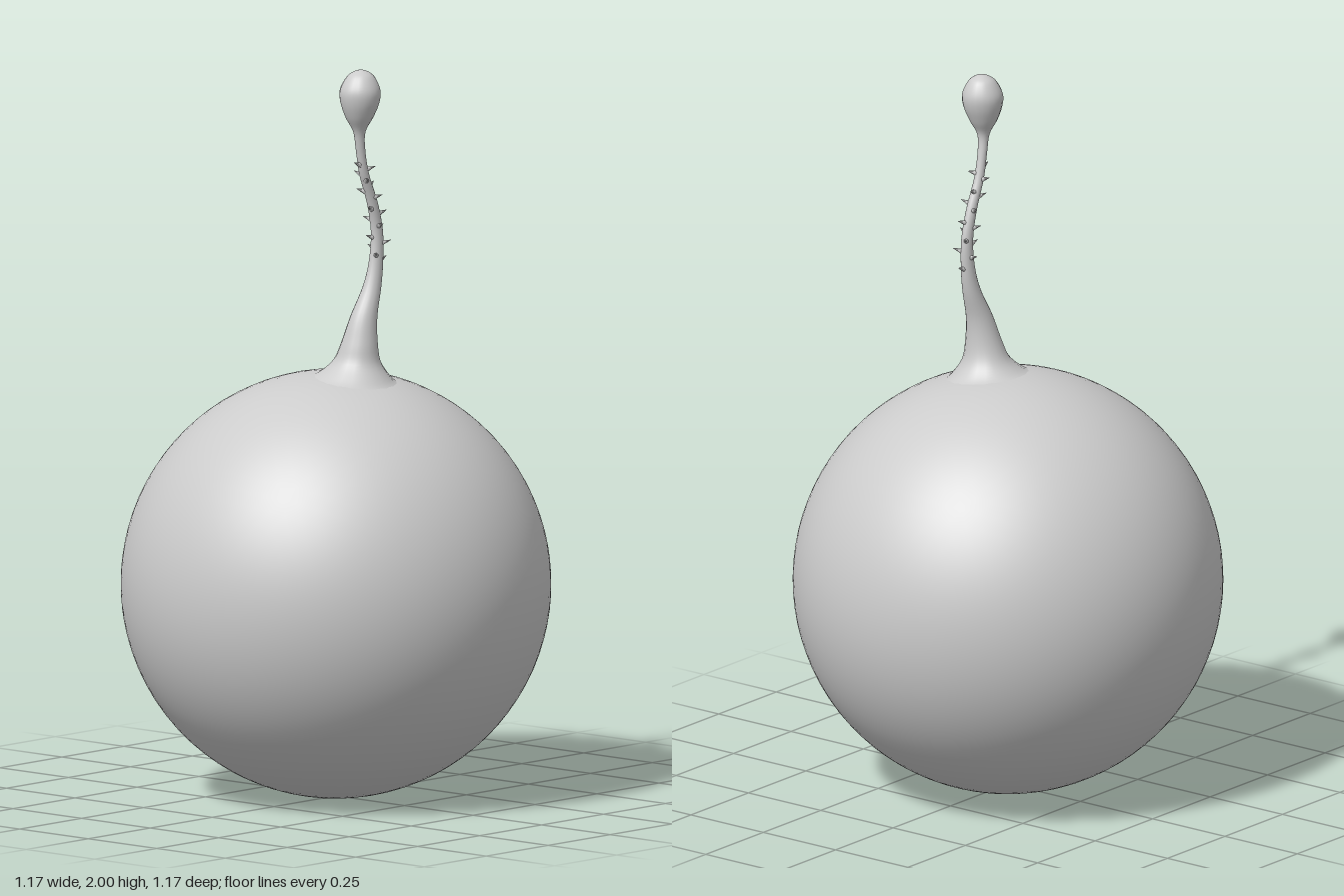
import * as THREE from 'three';

const R = 0.583; // body radius

// Stalk stations: [y, centre x, centre z, radius x, radius z, how far the ring drapes over the body]
const STATIONS = [
  [1.155, 0.0, 0.068, 0.135, 0.13, 1],
  [1.168, 0.002, 0.07, 0.098, 0.098, 0.9],
  [1.2, 0.008, 0.07, 0.064, 0.066, 0.4],
  [1.25, 0.012, 0.075, 0.049, 0.05, 0],
  [1.32, 0.025, 0.079, 0.038, 0.036, 0],
  [1.4, 0.055, 0.082, 0.027, 0.024, 0],
  [1.47, 0.07, 0.083, 0.021, 0.018, 0],
  [1.55, 0.073, 0.083, 0.018, 0.015, 0],
  [1.63, 0.054, 0.083, 0.016, 0.014, 0],
  [1.71, 0.022, 0.083, 0.014, 0.013, 0],
  [1.78, 0.006, 0.084, 0.013, 0.013, 0],
  [1.83, -0.001, 0.086, 0.017, 0.017, 0],
  [1.87, -0.002, 0.087, 0.038, 0.038, 0],
  [1.91, -0.001, 0.088, 0.053, 0.053, 0],
  [1.945, 0.0, 0.088, 0.055, 0.055, 0],
  [1.98, 0.002, 0.088, 0.038, 0.038, 0],
  [1.995, 0.003, 0.088, 0.018, 0.018, 0],
  [2.0, 0.003, 0.088, 0, 0, 0],
];
const spine = new THREE.CatmullRomCurve3(
  STATIONS.map(([y, x, z]) => new THREE.Vector3(x, y, z)), false, 'catmullrom', 0.5);
const size = new THREE.CatmullRomCurve3(
  STATIONS.map(([, , , rx, rz, k]) => new THREE.Vector3(rx, k, rz)), false, 'catmullrom', 0.5);

// Point on the stalk surface at height parameter t and angle a
function stalkPoint(t, a) {
  const c = spine.getPoint(t), s = size.getPoint(t);
  const x = c.x + s.x * Math.cos(a), z = c.z + s.z * Math.sin(a);
  const drop = R + Math.sqrt(R * R - x * x - z * z) - 1.162;
  return new THREE.Vector3(x, c.y + drop * s.y, z);
}

// Loft of closed rings along the spine
function stalkGeometry(rings, sides) {
  const pos = [], idx = [];
  for (let i = 0; i <= rings; i++) {
    for (let j = 0; j < sides; j++) {
      const p = stalkPoint(i / rings, (j / sides) * Math.PI * 2);
      pos.push(p.x, p.y, p.z);
      if (i === rings) continue;
      const k = (j + 1) % sides;
      const a = i * sides + j, b = i * sides + k, c = a + sides, d = b + sides;
      idx.push(a, c, b, b, c, d);
    }
  }
  const g = new THREE.BufferGeometry();
  g.setAttribute('position', new THREE.Float32BufferAttribute(pos, 3));
  g.setIndex(idx);
  g.computeVertexNormals();
  return g;
}

export function createModel() {
  const group = new THREE.Group();
  const material = new THREE.MeshStandardMaterial({ color: 0xcccccc });

  // Round body
  const body = new THREE.Mesh(new THREE.IcosahedronGeometry(R, 14), material);
  body.name = 'body';
  body.position.y = R;
  group.add(body);

  // Flared stalk ending in a teardrop bulb
  const stalk = new THREE.Mesh(stalkGeometry(85, 20), material);
  stalk.name = 'stalkAndBulb';
  group.add(stalk);

  // Small thorns spiralling up the thin part of the stalk
  const thorns = new THREE.Group();
  thorns.name = 'thorns';
  const cone = new THREE.ConeGeometry(0.008, 0.028, 6).translate(0, 0.009, 0);
  const up = new THREE.Vector3(0, 1, 0);
  const COUNT = 18;
  for (let i = 0; i < COUNT; i++) {
    const t = (6 + (3.4 * i) / (COUNT - 1)) / (STATIONS.length - 1);
    const a = i * 2.4;
    const thorn = new THREE.Mesh(cone, material);
    thorn.name = 'thorn';
    thorn.position.copy(stalkPoint(t, a));
    const dir = new THREE.Vector3(Math.cos(a), 0.35, Math.sin(a)).normalize();
    thorn.quaternion.setFromUnitVectors(up, dir);
    thorns.add(thorn);
  }
  group.add(thorns);

  return group;
}
